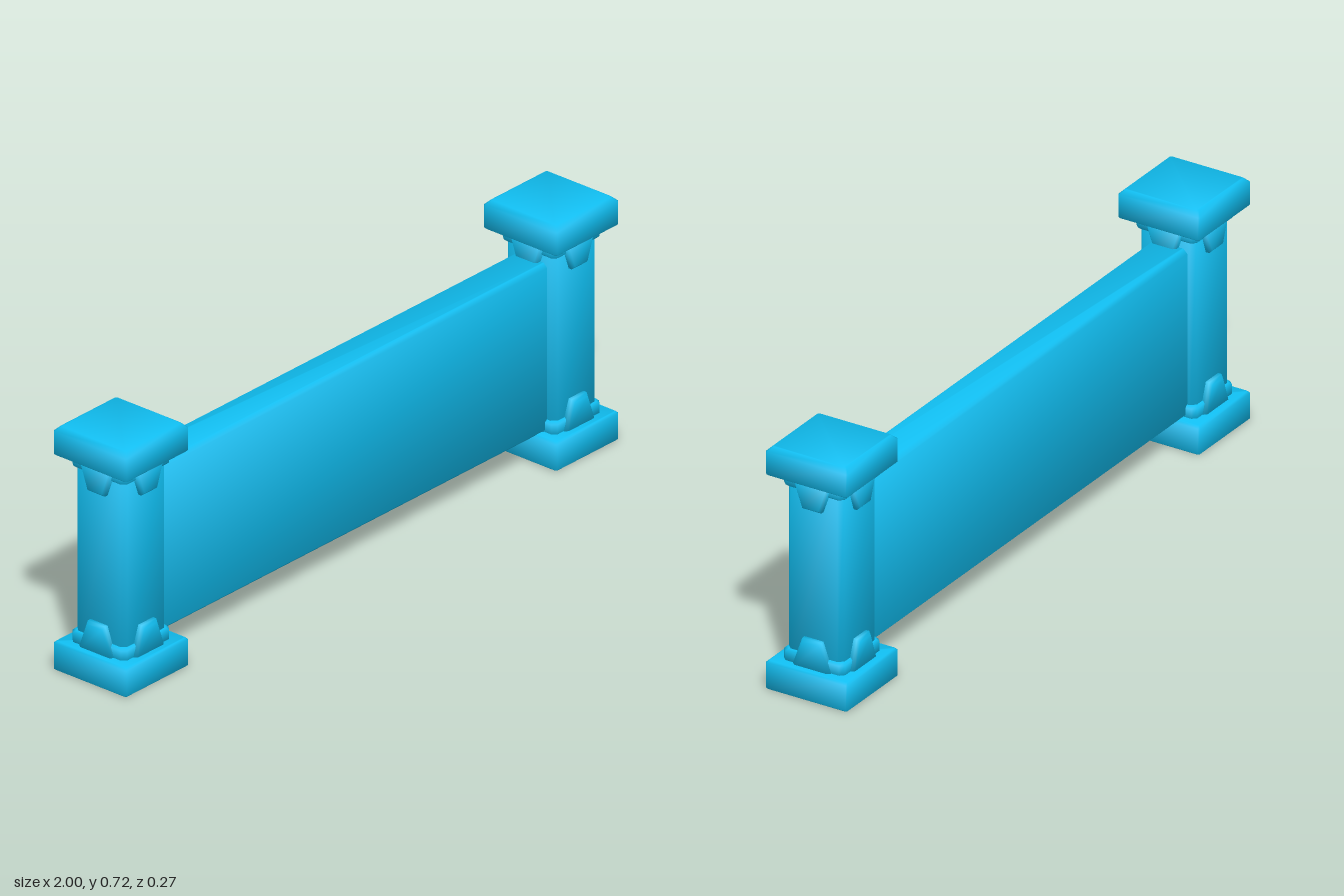
import * as THREE from 'three';

const material = new THREE.MeshStandardMaterial({ color: 0x10bff2 });
const HEIGHT = 0.722;

// Angle-weighted smooth normals, giving bevelled blocks a soft look
function softNormals(geo) {
  const pos = geo.attributes.position, idx = geo.index.array;
  const normals = Array.from({ length: pos.count }, () => new THREE.Vector3());
  const point = (i) => new THREE.Vector3().fromBufferAttribute(pos, i);
  for (let f = 0; f < idx.length; f += 3) {
    const p = [0, 1, 2].map((k) => point(idx[f + k]));
    const n = p[1].clone().sub(p[0]).cross(p[2].clone().sub(p[0])).normalize();
    for (let k = 0; k < 3; k++) {
      const a = p[(k + 1) % 3].clone().sub(p[k]);
      const b = p[(k + 2) % 3].clone().sub(p[k]);
      normals[idx[f + k]].addScaledVector(n, a.angleTo(b));
    }
  }
  geo.setAttribute('normal', new THREE.Float32BufferAttribute(normals.flatMap((n) => n.normalize().toArray()), 3));
  return geo;
}

// Closed solid through rings that run counter-clockwise about the loft direction
function loft(name, rings) {
  const n = rings[0].length, last = (rings.length - 1) * n, index = [];
  for (let r = 0; r < last; r += n) {
    for (let i = 0; i < n; i++) {
      const j = (i + 1) % n;
      index.push(r + i, r + j, r + n + j, r + i, r + n + j, r + n + i);
    }
  }
  for (let i = 1; i < n - 1; i++) {
    index.push(0, i + 1, i, last, last + i, last + i + 1);
  }
  const geo = new THREE.BufferGeometry();
  geo.setAttribute('position', new THREE.Float32BufferAttribute(rings.flat(2), 3));
  geo.setIndex(index);
  const mesh = new THREE.Mesh(softNormals(geo), material);
  mesh.name = name;
  return mesh;
}

// Horizontal rectangle with clipped corners
function rectRing(hx, hz, y, c) {
  const x = hx - c, z = hz - c;
  return [[hx, -z], [hx, z], [x, hz], [-x, hz], [-hx, z], [-hx, -z], [-x, -hz], [x, -hz]]
    .map(([u, v]) => [u, y, -v]);
}

// Block standing between two heights, with bevelled lower and upper rims
function block(name, hx, hz, y0, y1, corner, low, high) {
  return loft(name, [
    rectRing(hx - low, hz - low, y0, corner),
    rectRing(hx, hz, y0 + low, corner),
    rectRing(hx, hz, y1 - high, corner),
    rectRing(hx - high, hz - high, y1, corner),
  ]);
}

// Trapezoid ornament facing +z
function wedge() {
  const ring = (z, s) => [
    [-0.061 + s, 0.08, z], [0.061 - s, 0.08, z], [0.03 - s * 0.6, 0.168 - s, z], [-0.03 + s * 0.6, 0.168 - s, z],
  ];
  return loft('wedge', [ring(0.07, 0), ring(0.098, 0), ring(0.106, 0.008)]);
}

// Plinth, collar and four wedges at one end of a post
function postEnd(name, outerBevel, innerBevel) {
  const end = new THREE.Group();
  end.name = name;
  end.add(
    block('plinth', 0.1265, 0.1285, 0, 0.085, 0.004, outerBevel, innerBevel),
    block('collar', 0.096, 0.096, 0.08, 0.119, 0.012, 0.004, 0.006),
  );
  for (let i = 0; i < 4; i++) {
    const w = wedge();
    w.rotation.y = i * Math.PI / 2;
    end.add(w);
  }
  return end;
}

function post(name) {
  const group = new THREE.Group();
  group.name = name;
  const base = postEnd('postBase', 0.004, 0.006);
  const cap = postEnd('postCap', 0.014, 0.004);
  cap.rotation.x = Math.PI;
  cap.position.y = HEIGHT;
  group.add(block('shaft', 0.0875, 0.0875, 0.06, HEIGHT - 0.06, 0.014, 0.004, 0.004), base, cap);
  return group;
}

export function createModel() {
  const model = new THREE.Group();
  model.name = 'fenceSection';

  // Posts sit slightly staggered in depth
  for (const side of [-1, 1]) {
    const p = post(side > 0 ? 'leftPost' : 'rightPost');
    p.position.set(side * 0.8735, 0, side * -0.0065);
    model.add(p);
  }

  // Wall panel running into both posts
  const panel = block('panel', 0.82, 0.0575, 0.08, 0.58, 0.004, 0.012, 0.012);
  panel.position.z = -0.002;
  model.add(panel);
  return model;
}
